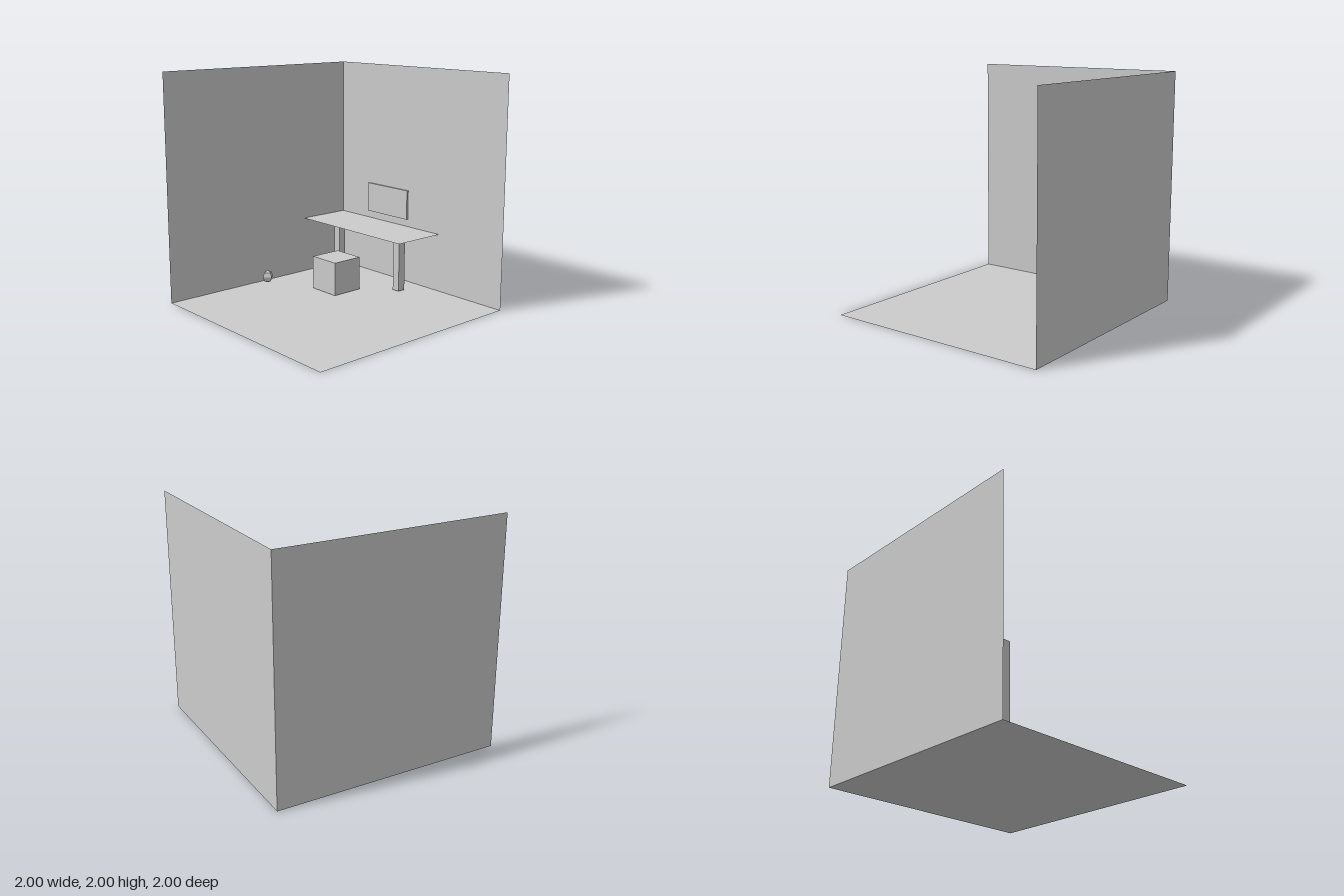
import * as THREE from 'three';

export function createModel() {
  const room = new THREE.Group();
  room.name = 'roomCorner';
  const solid = new THREE.MeshStandardMaterial({ color: 0xcccccc, flatShading: true });
  const sheet = new THREE.MeshStandardMaterial({ color: 0xcccccc, flatShading: true, side: THREE.DoubleSide });

  const add = (name, geometry, material, x, y, z) => {
    const mesh = new THREE.Mesh(geometry, material);
    mesh.name = name;
    mesh.position.set(x, y, z);
    room.add(mesh);
    return mesh;
  };
  // Box given by its limits along each axis
  const box = (name, [x0, x1], [y0, y1], [z0, z1]) =>
    add(name, new THREE.BoxGeometry(x1 - x0, y1 - y0, z1 - z0), solid,
      (x0 + x1) / 2, (y0 + y1) / 2, (z0 + z1) / 2);

  // Floor and two walls, all without thickness
  add('floor', new THREE.PlaneGeometry(2, 2).rotateX(-Math.PI / 2), sheet, 0, 0, 0);
  add('backWall', new THREE.PlaneGeometry(2, 2), sheet, 0, 1, -1);
  add('sideWall', new THREE.PlaneGeometry(2, 2).rotateY(Math.PI / 2), sheet, -1, 1, 0);

  // Desk: a thin top in the corner on two square legs
  add('deskTop', new THREE.PlaneGeometry(1.285, 0.505).rotateX(-Math.PI / 2), sheet, -0.3575, 0.526, -0.7475);
  for (const x of [-0.78, 0.022]) box('deskLeg', [x, x + 0.073], [0.015, 0.525], [-0.762, -0.689]);

  // Stool in front of the desk
  box('stool', [-0.507, -0.207], [0.006, 0.306], [-0.492, -0.194]);

  // Panel hung on the back wall
  box('wallPanel', [-0.62, -0.105], [0.594, 0.866], [-1, -0.982]);

  // Small faceted ball
  add('ball', new THREE.SphereGeometry(0.057, 4, 4), solid, -0.82, 0.101, 0.086);

  return room;
}
